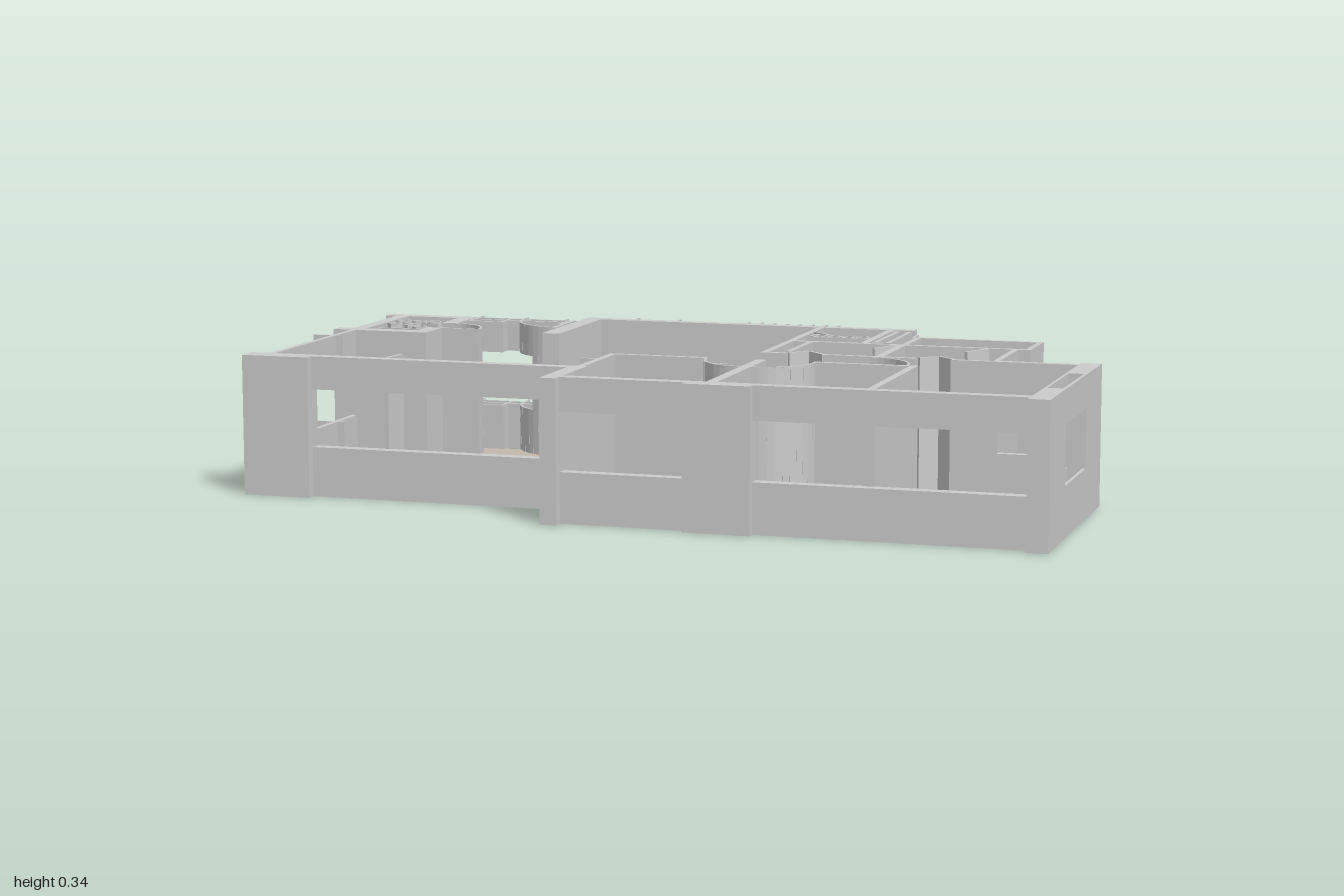
import * as THREE from 'three';

const H = 0.34, SILL = 0.12, HEAD = 0.26;
const grey = new THREE.MeshStandardMaterial({ color: 0xcccccc, flatShading: true });
const tan = new THREE.MeshStandardMaterial({ color: 0xc3b9ab });

// Points on an arc around (cx, cz), angles in degrees
function arc(cx, cz, r, a0, a1, n = 10) {
  return Array.from({ length: n + 1 }, (_, i) => {
    const a = THREE.MathUtils.degToRad(a0 + ((a1 - a0) * i) / n);
    return [cx + r * Math.cos(a), cz + r * Math.sin(a)];
  });
}

export function createModel() {
  const model = new THREE.Group();
  model.name = 'apartmentFloorPlan';

  const box = (parent, name, x0, x1, y0, y1, z0, z1) => {
    const m = new THREE.Mesh(new THREE.BoxGeometry(x1 - x0, y1 - y0, z1 - z0), grey);
    m.position.set((x0 + x1) / 2, (y0 + y1) / 2, (z0 + z1) / 2);
    m.name = name;
    parent.add(m);
    return m;
  };
  // Solid full-height wall
  const wall = (name, x0, x1, z0, z1, h = H) => box(model, name, x0, x1, 0, h, z0, z1);
  // Wall with an open window band between sill and head
  const windowWall = (name, x0, x1, z0, z1) => {
    const g = new THREE.Group();
    g.name = name;
    box(g, 'sillWall', x0, x1, 0, SILL, z0, z1);
    box(g, 'headBeam', x0, x1, HEAD, H, z0, z1);
    model.add(g);
  };
  // Thin upright panels following a line of [x, z] points
  const panels = (name, pts, t = 0.006, y0 = 0, y1 = H) => {
    const g = new THREE.Group();
    g.name = name;
    for (let i = 1; i < pts.length; i++) {
      const [ax, az] = pts[i - 1], [bx, bz] = pts[i];
      const len = Math.hypot(bx - ax, bz - az);
      const m = box(g, 'panel', 0, len + t * 0.5, y0, y1, 0, t);
      m.position.set((ax + bx) / 2, (y0 + y1) / 2, (az + bz) / 2);
      m.rotation.y = -Math.atan2(bz - az, bx - ax);
    }
    model.add(g);
  };
  const floor = (name, pts) => {
    const shape = new THREE.Shape(pts.map(([x, z]) => new THREE.Vector2(x, -z)));
    const geo = new THREE.ExtrudeGeometry(shape, { depth: 0.004, bevelEnabled: false });
    const m = new THREE.Mesh(geo.rotateX(-Math.PI / 2), tan);
    m.name = name;
    model.add(m);
  };

  // Floors, with notches at the entry and bathroom door swings
  floor('mainFloor', [
    [-0.945, 0.38], [-0.16, 0.38], [-0.16, 0.55], [0.952, 0.55], [0.952, -0.01], [0.77, -0.01],
    [0.77, -0.39], [0.47, -0.39], [0.47, -0.25], [0.38, -0.25], [0.38, -0.54], [-0.44, -0.54],
    [-0.44, -0.325], ...arc(-0.465, -0.47, 0.145, 90, 152), [-0.745, -0.4],
    ...arc(-0.745, -0.23, 0.1, -90, 0), [-0.745, -0.23], [-0.745, -0.14], [-0.945, -0.14],
  ]);
  floor('bathroomFloor', [[-0.93, -0.16], [-0.78, -0.16], [-0.78, -0.445], [-0.93, -0.445]]);

  // Living room shell
  wall('frontLeftCorner', -1, -0.83, 0.365, 0.42);
  windowWall('livingFrontWall', -0.83, -0.18, 0.365, 0.395);
  windowWall('livingSideWall', -0.952, -0.938, -0.12, 0.365);
  windowWall('sideFin', -1, -0.92, -0.004, 0.004);
  panels('livingPost', [[-0.648, 0.365], [-0.642, 0.29]], 0.01);

  // Bathroom block
  wall('bathBackWall', -0.99, -0.745, -0.475, -0.44);
  wall('bathOuterWall', -0.96, -0.925, -0.44, -0.16);
  wall('bathFrontWall', -1, -0.745, -0.16, -0.12);
  wall('bathInnerWall', -0.785, -0.745, -0.44, -0.33);
  wall('bathInnerWallFront', -0.785, -0.745, -0.23, -0.16);
  panels('bathDoorSwing', [...arc(-0.745, -0.23, 0.1, -90, 0), [-0.745, -0.23]]);
  for (const [x, z] of [[-0.9, -0.35], [-0.9, -0.29], [-0.855, -0.35], [-0.815, -0.35], [-0.845, -0.27], [-0.81, -0.24]])
    panels('bathFixture', arc(x, z, 0.018, 0, 360, 7), 0.004);
  panels('bathPartition', [[-0.92, -0.32], [-0.87, -0.31], [-0.84, -0.32], [-0.79, -0.31]], 0.005);
  panels('bathLiner', [[-0.92, -0.19], [-0.79, -0.19]], 0.005);

  // Entry porch with rails, fins and door swing
  for (const z of [-0.475, -0.44, -0.4]) windowWall('entryRail', -0.745, z < -0.41 ? -0.46 : -0.64, z, z + 0.008);
  for (const x of [-0.74, -0.65, -0.49]) windowWall('entryCrossRail', x, x + 0.008, -0.475, -0.395);
  for (const x of [-0.738, -0.612, -0.5]) windowWall('entryFin', x - 0.003, x + 0.003, -0.505, -0.475);
  const swing = arc(-0.465, -0.47, 0.145, 90, 180, 12);
  panels('entryDoorSwing', swing.slice(0, 5));
  panels('entryDoorSwingSill', swing.slice(4), 0.006, 0, SILL);
  panels('entryDoorSwingHead', swing.slice(4), 0.006, HEAD, H);
  wall('entryDoorLeaf', -0.48, -0.468, -0.47, -0.325);

  // Back room, sliding panels and outside fins
  wall('backWall', -0.46, 0.43, -0.555, -0.525);
  wall('backRoomSideWall', -0.46, -0.415, -0.525, -0.2);
  wall('backRoomInnerWall', 0.175, 0.192, -0.525, 0);
  for (const [a, b] of [[-0.36, -0.19], [-0.15, 0.03]]) wall('slidingPanel', a, b, -0.21, -0.202, 0.28);
  wall('slidingPanelJamb', 0.12, 0.175, -0.21, -0.202, 0.28);
  const fins = [-0.33, -0.215, ...Array.from({ length: 8 }, (_, i) => -0.025 + i * 0.0345)];
  for (const x of fins) windowWall('backFin', x - 0.004, x + 0.004, -0.585, -0.555);

  // Washroom beside the back room
  wall('washroomFrontWall', 0.19, 0.46, -0.25, -0.235);
  windowWall('washroomSideWall', 0.36, 0.378, -0.525, -0.25);
  windowWall('washroomWindowFrame', 0.388, 0.398, -0.5, -0.27);
  windowWall('washroomWindowOuter', 0.42, 0.43, -0.5, -0.27);
  for (const z of [-0.5, -0.278]) windowWall('windowReturn', 0.378, 0.43, z, z + 0.008);
  panels('washroomDoor', [[0.19, -0.435], [0.245, -0.385], [0.2, -0.385]]);
  for (let i = 0; i < 4; i++) panels('washroomFixture', arc(0.222 + i * 0.038, -0.36, 0.018, 0, 360, 7), 0.004);
  panels('washroomPartition', [[0.2, -0.335], [0.36, -0.335]], 0.005);

  // Balcony box
  windowWall('balconyBackWall', 0.46, 0.79, -0.4, -0.388);
  windowWall('balconySideWall', 0.776, 0.79, -0.388, -0.235);
  windowWall('balconyInnerSide', 0.465, 0.48, -0.388, -0.25);
  windowWall('balconyFin', 0.455, 0.461, -0.45, -0.39);
  wall('balconyFrontWall', 0.46, 0.79, -0.25, -0.235);

  // Closets with folding doors
  wall('closetLeftWall', 0.228, 0.242, -0.235, -0.04);
  wall('closetDivider', 0.458, 0.478, -0.235, 0);
  wall('closetRightWall', 0.745, 0.76, -0.235, 0);
  for (const [a, b] of [[0.19, 0.24], [0.33, 0.56], [0.645, 0.76]]) wall('closetFrontWall', a, b, -0.014, 0);
  for (const x of [0.242, 0.565])
    panels('foldingDoor', [[x, -0.02], [x + 0.04, -0.058], [x + 0.085, -0.015]], 0.008);
  for (const x of [0.418, 0.648]) panels('closetShelfDoor', [[x, -0.16], [x + 0.036, -0.232]], 0.009);

  // Bedrooms: inner walls and door swings
  wall('bedroomLeftWall', -0.165, -0.148, 0.125, 0.37);
  wall('bedroomHallWall', -0.165, 0.08, 0.125, 0.14);
  wall('bedroomHallWallRight', 0.345, 0.595, 0.125, 0.14);
  wall('bedroomDivider', 0.203, 0.228, 0.13, 0.535);
  wall('bedroomDividerRight', 0.578, 0.596, 0.125, 0.535);
  panels('bedroomDoorSwing', arc(0.203, 0.14, 0.12, 90, 180));
  panels('bedroomDoorSwing', arc(0.228, 0.14, 0.12, 0, 90));
  panels('bedroomDoorSwing', arc(0.45, 0.125, 0.12, -90, 0));

  // Bedroom outer walls and columns
  wall('frontCornerColumn', -0.18, -0.14, 0.365, 0.585);
  wall('frontMiddleColumn', 0.16, 0.32, 0.53, 0.58);
  windowWall('bedroomFrontWall', -0.14, 0.16, 0.53, 0.56);
  windowWall('bedroomFrontWallRight', 0.32, 0.95, 0.53, 0.56);
  windowWall('bedroomBackWall', 0.76, 0.95, -0.02, 0);
  wall('sideWallBack', 0.95, 1, -0.04, 0.15);
  wall('sideWallFront', 0.95, 1, 0.4, 0.585);
  windowWall('sideWindowInner', 0.95, 0.957, 0.15, 0.4);
  windowWall('sideWindowOuter', 0.992, 1, 0.15, 0.4);

  return model;
}
